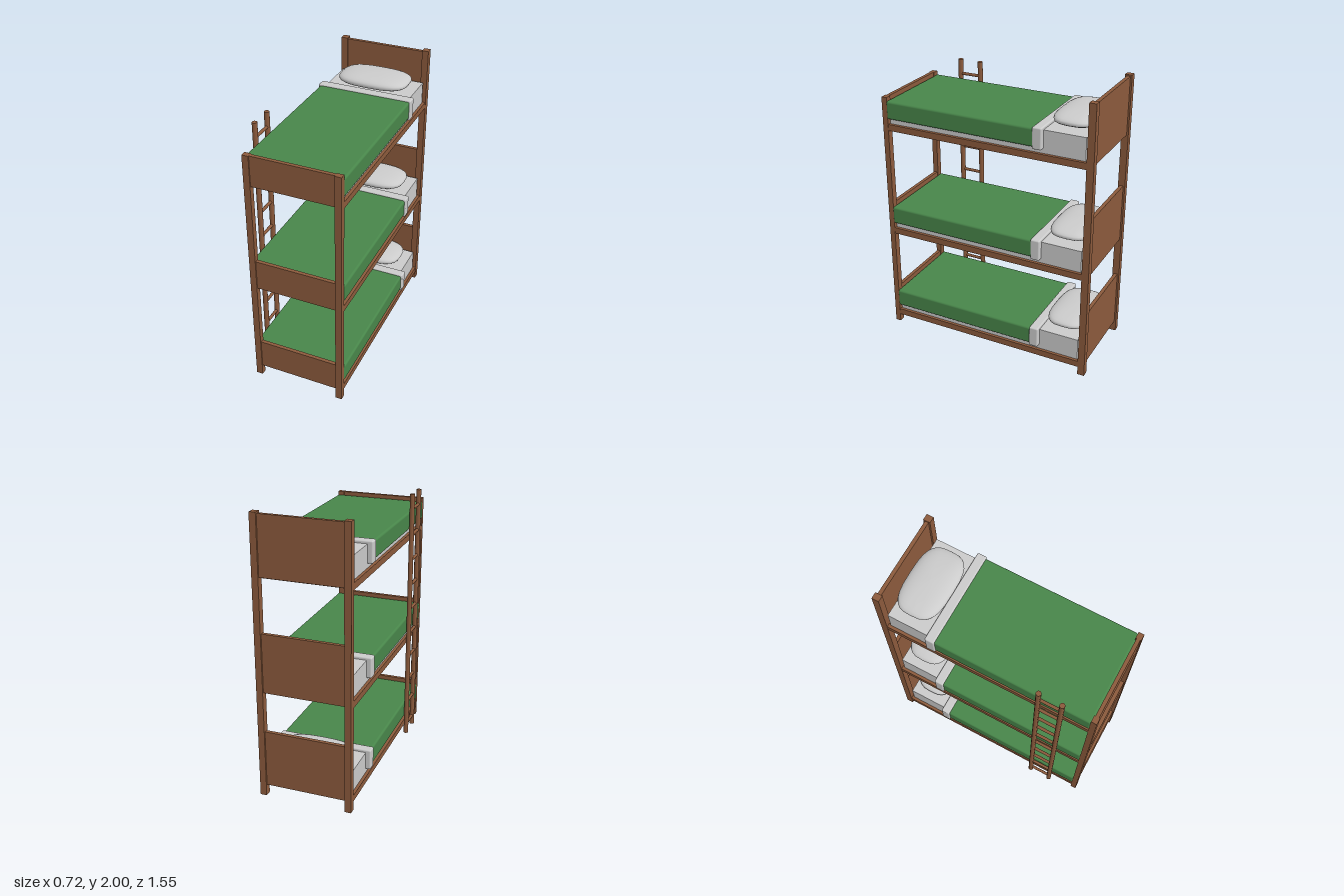
import * as THREE from 'three';
import { RoundedBoxGeometry } from 'three/addons/geometries/RoundedBoxGeometry.js';

const wood = new THREE.MeshStandardMaterial({ color: 0x8b5a3c });
const green = new THREE.MeshStandardMaterial({ color: 0x48864a });
const grey = new THREE.MeshStandardMaterial({ color: 0xcccccc });

// Box given by its limits on each axis; r > 0 rounds the edges
function box(parent, name, [x0, x1], [y0, y1], [z0, z1], material, r = 0) {
  const size = [x1 - x0, y1 - y0, z1 - z0];
  const geometry = r ? new RoundedBoxGeometry(...size, 3, r) : new THREE.BoxGeometry(...size);
  const mesh = new THREE.Mesh(geometry, material);
  mesh.name = name;
  mesh.position.set((x0 + x1) / 2, (y0 + y1) / 2, (z0 + z1) / 2);
  parent.add(mesh);
  return mesh;
}

function rod(parent, name, radius, length, x, y, z, alongZ = false) {
  const mesh = new THREE.Mesh(new THREE.CylinderGeometry(radius, radius, length, 12), wood);
  mesh.name = name;
  mesh.position.set(x, y, z);
  if (alongZ) mesh.rotation.x = Math.PI / 2;
  parent.add(mesh);
}

// Sphere squared off in plan, with a softly flattened top and bottom
function pillowGeometry(hx, hy, hz) {
  const g = new THREE.SphereGeometry(1, 28, 14);
  const p = g.attributes.position;
  const soft = (v, e) => Math.sign(v) * Math.abs(v) ** e;
  for (let i = 0; i < p.count; i++) {
    const x = p.getX(i), y = p.getY(i), z = p.getZ(i);
    const ring = Math.hypot(x, z);
    const spread = ring ** 0.8;
    const c = ring > 1e-6 ? x / ring : 0;
    const s = ring > 1e-6 ? z / ring : 0;
    p.setXYZ(i, hx * spread * soft(c, 0.65), hy * soft(y, 0.9), hz * spread * soft(s, 0.65));
  }
  g.computeVertexNormals();
  return g;
}

export function createModel() {
  const model = new THREE.Group();
  model.name = 'tripleBunkBed';
  const cx = 0.014;
  const span = (half) => [cx - half, cx + half];

  // Corner posts: tall at the head, lower at the foot
  for (const side of [-1, 1]) {
    const px = cx + side * 0.31;
    const width = [px - 0.023, px + 0.023];
    const label = side > 0 ? 'left' : 'right';
    box(model, label + 'HeadPost', width, [0, 2], [-0.78, -0.73], wood);
    box(model, label + 'FootPost', width, [0, 1.8], [0.735, 0.775], wood);
  }

  // Three bunks
  const pillowShape = pillowGeometry(0.258, 0.045, 0.158);
  const headTops = [0.49, 1.2, 1.99];
  [0, 0.7, 1.5].forEach((y, i) => {
    const bunk = new THREE.Group();
    bunk.name = 'bunk' + (i + 1);
    model.add(bunk);
    const up = (a, b) => [y + a, y + b];

    // Frame
    box(bunk, 'headboard', span(0.29), [y + 0.08, headTops[i]], [-0.768, -0.742], wood);
    box(bunk, 'footboard', span(0.29), up(0.08, 0.3), [0.742, 0.768], wood);
    box(bunk, 'leftRail', [cx + 0.305, cx + 0.331], up(0.06, 0.106), [-0.735, 0.74], wood);
    box(bunk, 'rightRail', [cx - 0.331, cx - 0.305], up(0.06, 0.106), [-0.735, 0.74], wood);
    box(bunk, 'bedBase', span(0.306), up(0.072, 0.1), [-0.75, 0.75], wood);

    // Bedding
    box(bunk, 'mattress', span(0.31), up(0.1, 0.265), [-0.715, 0.73], grey);
    box(bunk, 'blanket', span(0.337), up(0.145, 0.275), [-0.37, 0.74], green, 0.015);
    box(bunk, 'sheetFold', span(0.346), up(0.135, 0.285), [-0.425, -0.358], grey, 0.01);
    const pillow = new THREE.Mesh(pillowShape, grey);
    pillow.name = 'pillow';
    pillow.position.set(cx, y + 0.309, -0.572);
    bunk.add(pillow);
  });

  // Ladder on the right side
  const ladder = new THREE.Group();
  ladder.name = 'ladder';
  model.add(ladder);
  for (const z of [0.388, 0.548]) rod(ladder, 'ladderRail', 0.018, 1.89, -0.345, 0.965, z);
  for (let i = 0; i < 10; i++) {
    rod(ladder, 'rung', 0.011, 0.16, -0.345, 0.093 + i * 0.19, 0.468, true);
  }
  return model;
}
